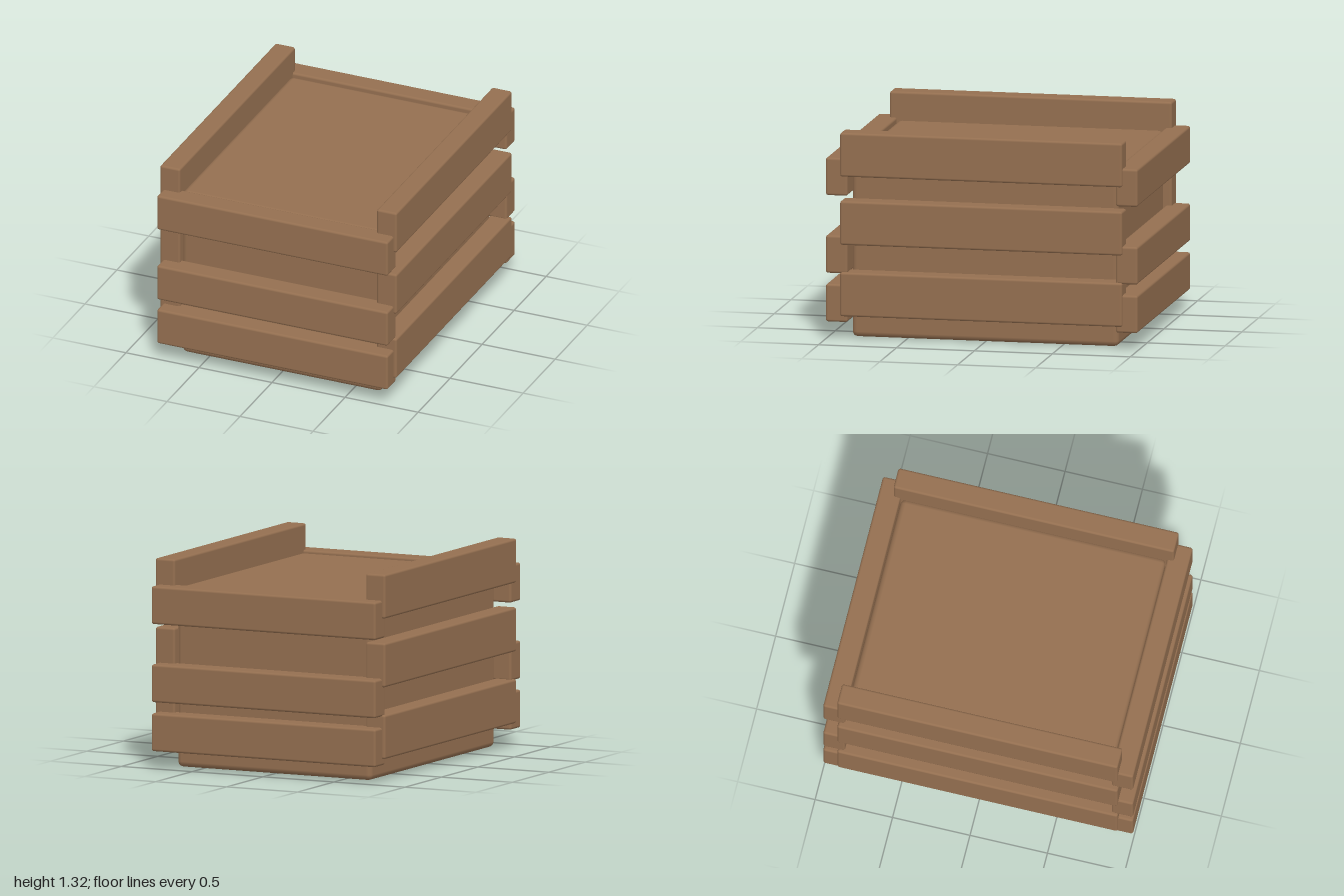
import * as THREE from 'three';
import { RoundedBoxGeometry } from 'three/addons/geometries/RoundedBoxGeometry.js';

export function createModel() {
  const crate = new THREE.Group();
  crate.name = 'slattedCrate';
  const wood = new THREE.MeshStandardMaterial({ color: 0x946f50 });
  wood.name = 'brownWood';

  // Box with softened edges, placed by its centre
  function board(name, size, centre, radius) {
    const mesh = new THREE.Mesh(new RoundedBoxGeometry(...size, 2, radius), wood);
    mesh.name = name;
    mesh.position.set(...centre);
    crate.add(mesh);
  }

  // Solid body
  board('crateBody', [1.37, 1.14, 1.71], [0, 0.57, 0], 0.035);

  // Three slats across the front and the back
  [0.23, 0.54, 1.035].forEach((y, i) => {
    for (const [side, s] of [['front', 1], ['back', -1]]) {
      board(`${side}Slat${i + 1}`, [1.58, 0.24, 0.14], [0, y, s * 0.93], 0.015);
    }
  });

  // Three slats along the left and the right, set higher
  [0.29, 0.745, 1.18].forEach((y, i) => {
    for (const [side, s] of [['left', 1], ['right', -1]]) {
      board(`${side}Slat${i + 1}`, [0.137, 0.28, 1.81], [s * 0.7415, y, 0], 0.015);
    }
  });

  return crate;
}
